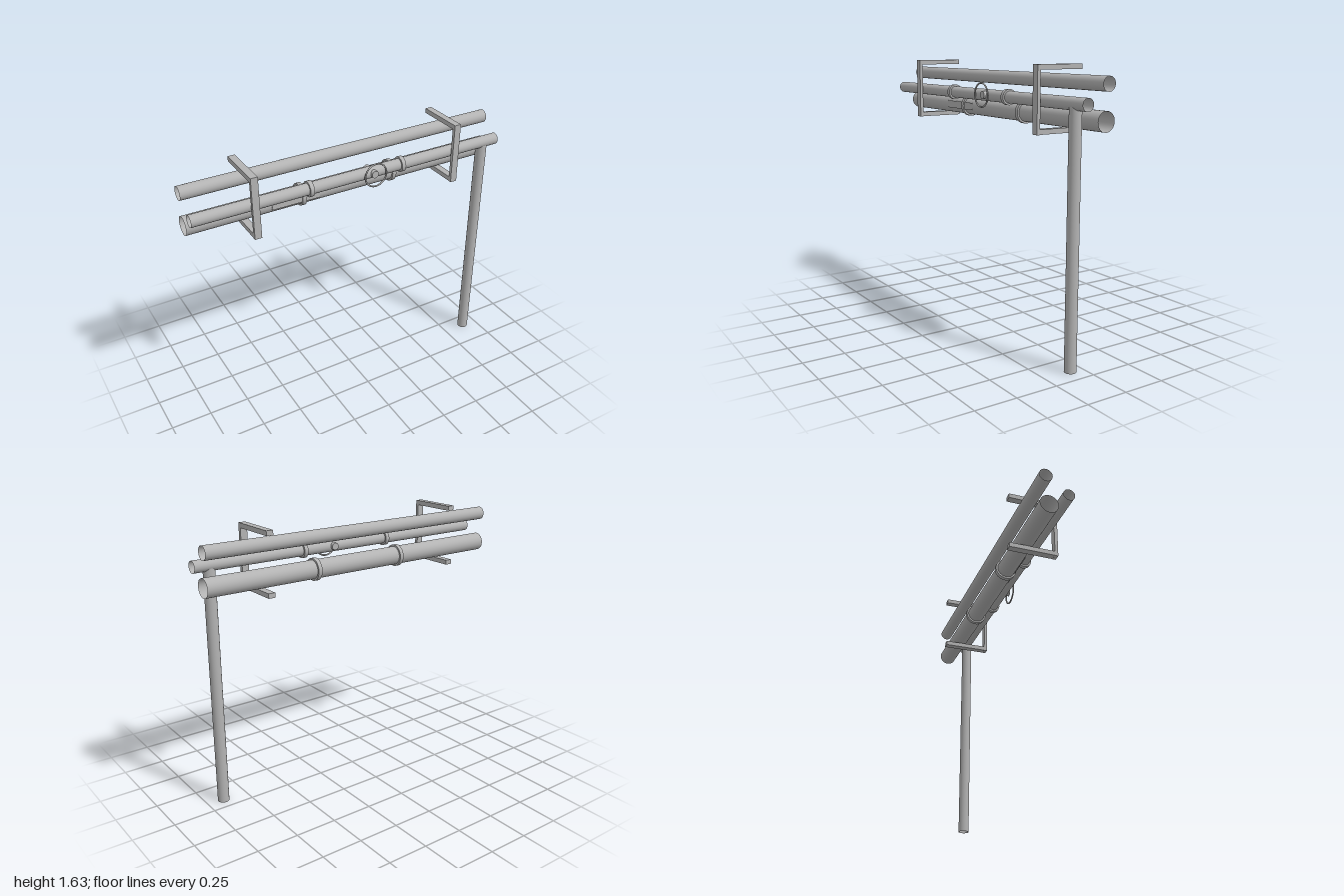
import * as THREE from 'three';

export function createModel() {
  const group = new THREE.Group();
  const steel = new THREE.MeshStandardMaterial({ color: 0xb3b3b3, side: THREE.DoubleSide });
  steel.name = 'grey steel';

  const add = (name, geometry, x, y, z, axis) => {
    const mesh = new THREE.Mesh(geometry, steel);
    mesh.name = name;
    mesh.position.set(x, y, z);
    if (axis === 'x') mesh.rotation.z = Math.PI / 2;
    if (axis === 'z') mesh.rotation.x = Math.PI / 2;
    group.add(mesh);
    return mesh;
  };
  const tube = (r, length, open) => new THREE.CylinderGeometry(r, r, length, 32, 1, open);
  const box = (w, h, d) => new THREE.BoxGeometry(w, h, d);

  // Three open horizontal pipes
  const main = { r: 0.055, y: 1.35, z: -0.04 };
  const branch = { r: 0.035, y: 1.44, z: 0.08 };
  const upper = { r: 0.04, y: 1.54, z: -0.055 };
  add('mainPipe', tube(main.r, 2, true), 0, main.y, main.z, 'x');
  add('branchPipe', tube(branch.r, 2, true), 0, branch.y, branch.z, 'x');
  add('upperPipe', tube(upper.r, 2, true), 0, upper.y, upper.z, 'x');

  // Vertical drop pipe down to the ground
  add('dropPipe', tube(0.034, 1.425, true), 0.9, 0.7125, branch.z);

  for (const side of [-1, 1]) {
    // Flanges on the two lower pipes
    add('mainFlange', tube(main.r + 0.011, 0.025, false), side * 0.3, main.y, main.z, 'x');
    add('branchFlange', tube(branch.r + 0.011, 0.025, false), side * 0.3, branch.y, branch.z, 'x');

    // C-shaped support bracket, open to the back
    const x = side * 0.65;
    add('bracketUpright', box(0.042, 0.37, 0.02), x, 1.447, 0.14);
    add('bracketTopArm', box(0.042, 0.028, 0.3), x, 1.618, 0);
    add('bracketBottomArm', box(0.042, 0.028, 0.3), x, 1.277, 0);
  }

  // Valve body through the branch pipe, with its handwheel
  add('valveBody', tube(0.022, 0.1, false), 0.1, 1.443, 0.08, 'z');
  add('handwheel', new THREE.TorusGeometry(0.07, 0.005, 12, 48), 0.1, 1.443, 0.135);

  // Marker plate on the front of the main pipe
  add('markerPlate', box(0.3, 0.045, 0.004), -0.35, 1.35, 0.0135);

  return group;
}
